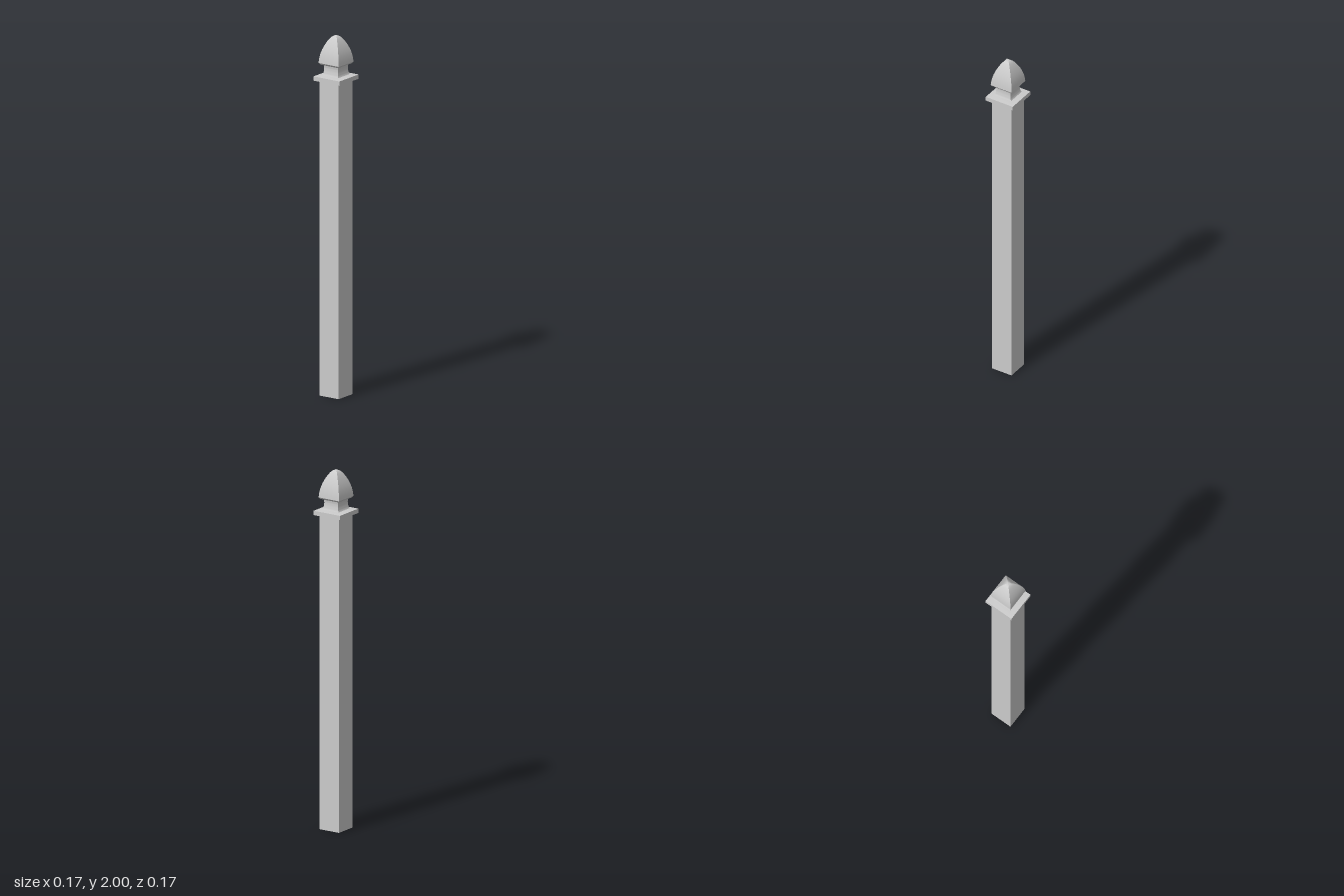
import * as THREE from 'three';
import { toCreasedNormals } from 'three/addons/utils/BufferGeometryUtils.js';

const material = new THREE.MeshStandardMaterial({ color: 0xcccccc });

// Square turning: sweeps a [half width, height] profile around four sides.
function squareTurned(name, profile, crease) {
  const points = profile.map(([w, y]) => new THREE.Vector2(w * Math.SQRT2, y));
  const geometry = new THREE.LatheGeometry(points, 4, Math.PI / 4);
  const mesh = new THREE.Mesh(toCreasedNormals(geometry, crease), material);
  mesh.name = name;
  return mesh;
}

// Samples a smooth curve through a few profile points.
function smooth(points, divisions) {
  const curve = new THREE.SplineCurve(points.map(([x, y]) => new THREE.Vector2(x, y)));
  return curve.getPoints(divisions).map((p) => [Math.max(p.x, 0), p.y]);
}

export function createModel() {
  const group = new THREE.Group();
  group.name = 'fencePost';

  // Square shaft with a closed foot
  group.add(squareTurned('shaft', [[0, 0], [0.0625, 0], [0.0625, 1.755], [0, 1.755]], 0.7));

  // Flat collar with a slightly sloped top
  group.add(squareTurned('collar', [[0, 1.75], [0.086, 1.75], [0.086, 1.774], [0.053, 1.779], [0, 1.779]], 0.7));

  // Concave neck flaring out under the finial
  const neck = smooth([[0.054, 1.777], [0.049, 1.788], [0.046, 1.805], [0.045, 1.82], [0.047, 1.834]], 10);
  group.add(squareTurned('neck', neck, 0.7));

  // Four-sided pointed finial with a curved face and a shallow underside
  const cap = smooth([[0.067, 1.847], [0.064, 1.875], [0.058, 1.905], [0.048, 1.935],
    [0.034, 1.965], [0.018, 1.989], [0, 2]], 18);
  group.add(squareTurned('finial', [[0, 1.833], [0.047, 1.833], [0.06, 1.838], ...cap], 0.7));

  return group;
}
